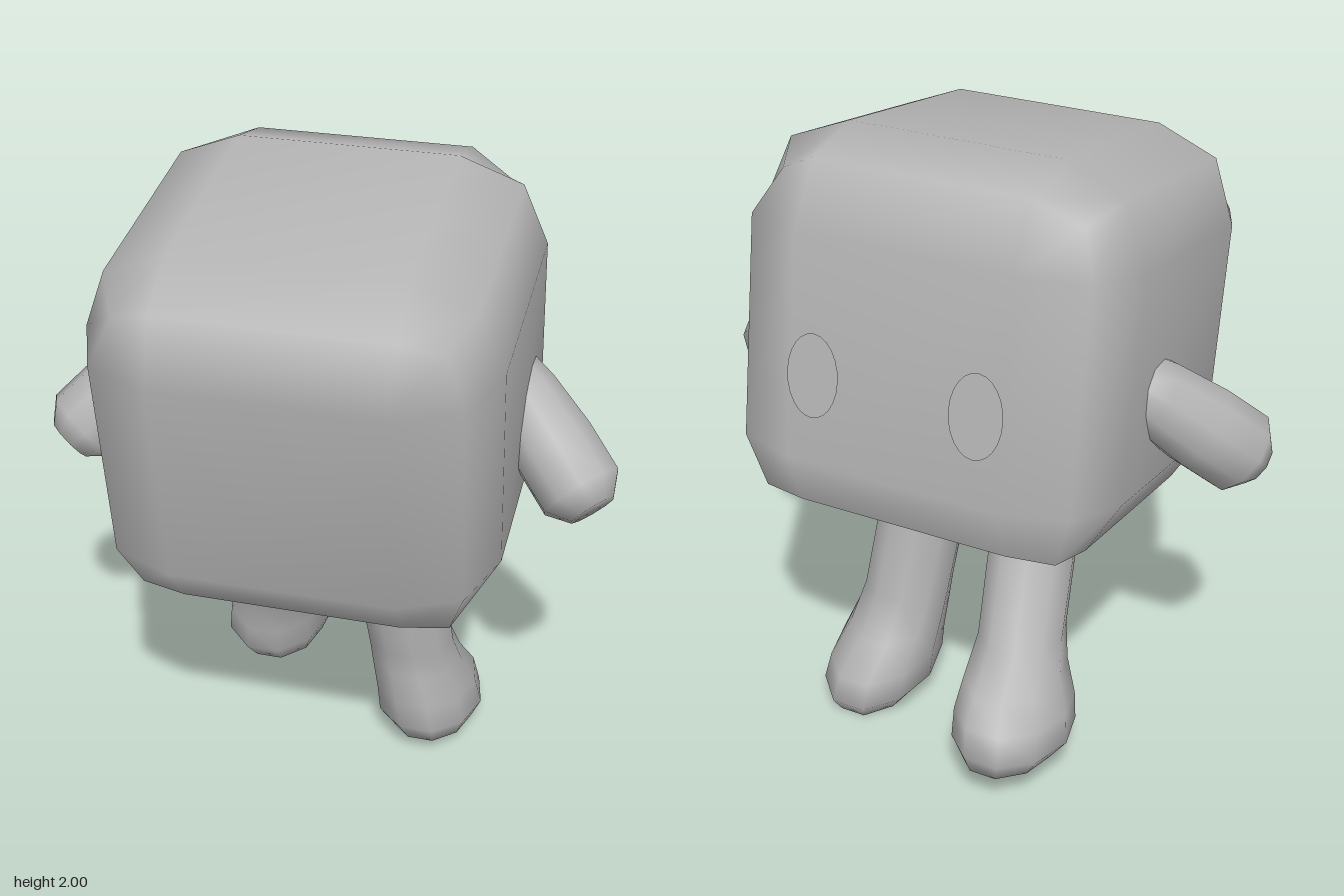
import * as THREE from 'three';
import { mergeVertices } from 'three/addons/utils/BufferGeometryUtils.js';

const SIDES = 10;

// Closed skin over a run of rings, first to last, with a centre point closing each end
function loft(rings) {
  const pos = [], idx = [], n = SIDES;
  const centre = r => r.reduce((s, p) => s.add(p), new THREE.Vector3()).divideScalar(n);
  rings.forEach(r => r.forEach(p => pos.push(p.x, p.y, p.z)));
  const last = rings.length - 1, top = rings.length * n, end = top + 1;
  [rings[0], rings[last]].forEach(r => pos.push(...centre(r).toArray()));
  for (let j = 0; j < n; j++) {
    const k = (j + 1) % n;
    for (let i = 0; i < last; i++) {
      const a = i * n + j, b = i * n + k;
      idx.push(a, b, a + n, b, b + n, a + n);
    }
    idx.push(top, k, j, end, last * n + j, last * n + k);
  }
  const g = new THREE.BufferGeometry();
  g.setAttribute('position', new THREE.Float32BufferAttribute(pos, 3));
  g.setIndex(idx);
  g.computeVertexNormals();
  return g;
}

function ring(rx, rz, place) {
  return Array.from({ length: SIDES }, (_, j) => {
    const a = (j / SIDES) * Math.PI * 2;
    return place(new THREE.Vector3(rx * Math.cos(a), 0, rz * Math.sin(a)));
  });
}

// Leg and foot from level rings [x, y, z, rx, rz, tilt]
function legGeometry(rows) {
  return loft(rows.map(([x, y, z, rx, rz, tilt = 0]) =>
    ring(rx, rz, p => p.set(x + p.x, y + tilt * p.z, z + p.z))));
}

// Stubby arm along a slanted axis, rings [distance, radius]
function armGeometry(side) {
  const dir = new THREE.Vector3(0.63 * side, -0.62, 0.47).normalize();
  const q = new THREE.Quaternion().setFromUnitVectors(new THREE.Vector3(0, -1, 0), dir);
  const start = new THREE.Vector3(0.5 * side, 1.375, -0.185);
  const rows = [[0, 0.09], [0.12, 0.115], [0.3, 0.132], [0.46, 0.132], [0.525, 0.075]];
  return loft(rows.map(([d, r]) =>
    ring(r, r, p => p.applyQuaternion(q).add(start).addScaledVector(dir, d))));
}

// Rounded cube shell, open underneath
function headGeometry() {
  const box = new THREE.BoxGeometry(1.2, 1.2, 1.2, 3, 3, 3);
  const p = box.attributes.position;
  for (let i = 0; i < p.count; i++) {
    const v = [p.getX(i), p.getY(i), p.getZ(i)];
    const outer = v.filter(c => Math.abs(c) > 0.5).length;
    const reach = v[1] < -0.5 ? [0, 0.6, 0.505, 0.475][outer] : [0, 0.6, 0.525, 0.465][outer];
    const out = v.map(c => Math.sign(c) * (Math.abs(c) > 0.5 ? reach : 0.335));
    if (v[1] < -0.5) out[1] = -0.5;
    p.setXYZ(i, ...out);
  }
  const index = Array.from(box.index.array);
  const under = box.groups[3];
  index.splice(under.start, under.count);
  const g = new THREE.BufferGeometry();
  g.setAttribute('position', p);
  g.setIndex(index);
  const merged = mergeVertices(g, 1e-4);
  merged.computeVertexNormals();
  return merged;
}

export function createModel() {
  const model = new THREE.Group();
  model.name = 'cubeHeadFigure';
  const grey = new THREE.MeshStandardMaterial({ color: 0xb4b4b4, side: THREE.DoubleSide });
  grey.name = 'grey';
  const add = (parent, name, geometry) => {
    const mesh = new THREE.Mesh(geometry, grey);
    mesh.name = name;
    parent.add(mesh);
    return mesh;
  };

  // Tilted head with two oval eyes on its face
  const head = new THREE.Group();
  head.name = 'head';
  head.position.set(0, 1.353, 0);
  head.rotation.x = 0.166;
  model.add(head);
  add(head, 'headShell', headGeometry());
  for (const s of [1, -1]) {
    const eye = add(head, s > 0 ? 'leftEye' : 'rightEye',
      new THREE.CircleGeometry(1, 24).scale(0.083, 0.125, 1).rotateY(Math.PI));
    eye.position.set(0.257 * s, -0.07, -0.604);
  }

  // Arms
  add(model, 'leftArm', armGeometry(1));
  add(model, 'rightArm', armGeometry(-1));

  // Standing leg
  add(model, 'leftLeg', legGeometry([
    [0.19, 0.95, -0.02, 0.14, 0.135],
    [0.21, 0.78, -0.03, 0.145, 0.137],
    [0.26, 0.39, -0.095, 0.143, 0.147],
    [0.275, 0.29, -0.135, 0.152, 0.192, 0.15],
    [0.3, 0.18, -0.18, 0.168, 0.24, 0.1],
    [0.315, 0.09, -0.187, 0.175, 0.25, 0.1],
    [0.325, 0.028, -0.18, 0.135, 0.21, 0.12],
  ]));

  // Stepping leg
  add(model, 'rightLeg', legGeometry([
    [-0.19, 0.95, -0.02, 0.135, 0.14],
    [-0.2, 0.78, -0.09, 0.138, 0.145],
    [-0.23, 0.45, -0.25, 0.135, 0.15],
    [-0.25, 0.36, -0.335, 0.15, 0.2],
    [-0.275, 0.28, -0.39, 0.172, 0.235, -0.12],
    [-0.28, 0.19, -0.405, 0.178, 0.24, -0.1],
    [-0.27, 0.125, -0.41, 0.14, 0.2, -0.08],
  ]));

  return model;
}
